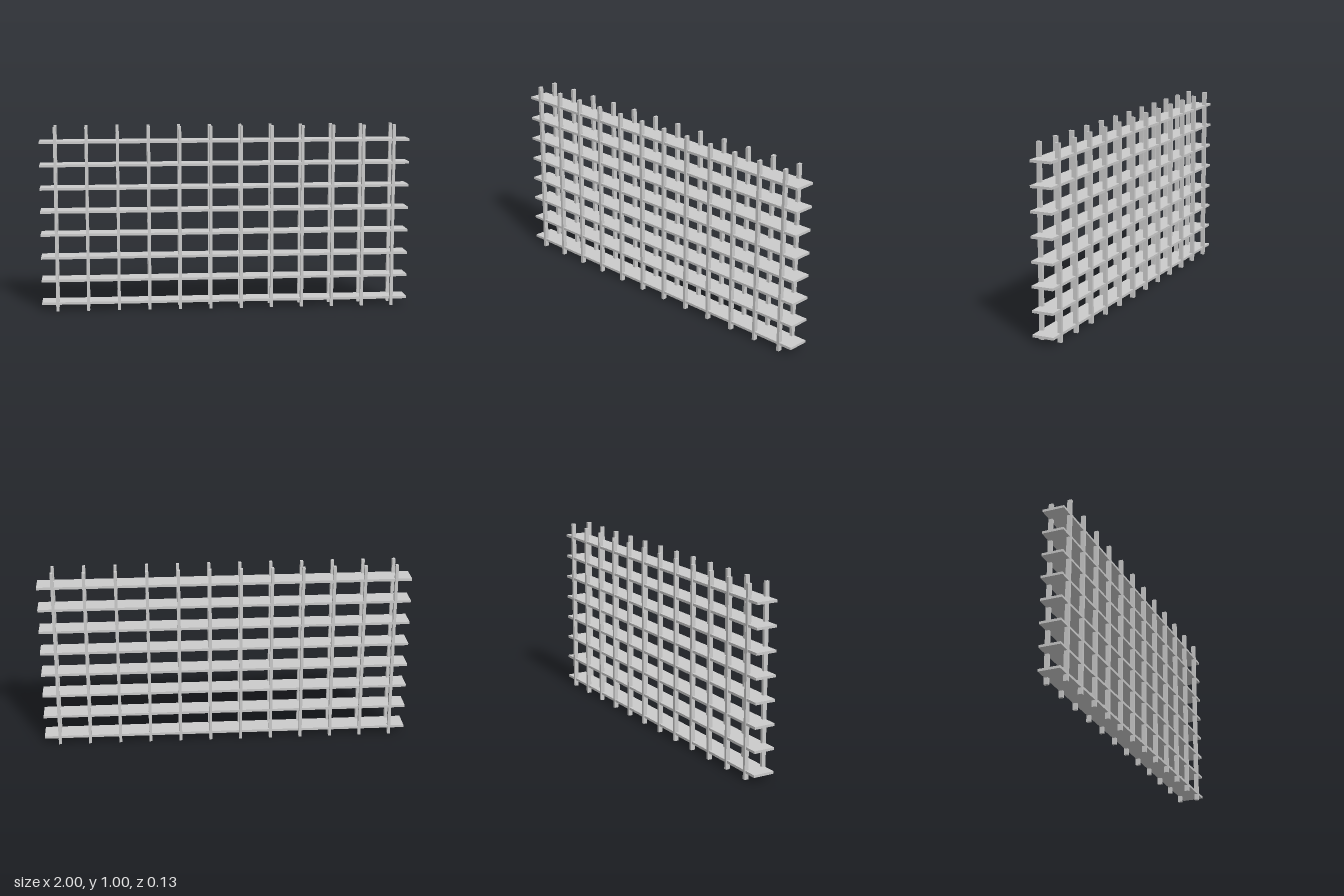
import * as THREE from 'three';

export function createModel() {
  const model = new THREE.Group();
  const material = new THREE.MeshStandardMaterial({ color: 0xcccccc, flatShading: true });

  function addPart(geometry, name, x, y, z) {
    const mesh = new THREE.Mesh(geometry, material);
    mesh.name = name;
    mesh.position.set(x, y, z);
    model.add(mesh);
  }

  // Eight shelves, each made of two boards butted together at the middle
  const board = new THREE.BoxGeometry(1, 0.0135, 0.117);
  for (let i = 0; i < 8; i++) {
    const y = 0.042 + i * 0.125;
    addPart(board, 'shelfBoardLeft', 0.5, y, 0);
    addPart(board, 'shelfBoardRight', -0.5, y, 0);
  }

  // Twelve pairs of upright posts, front and back, gripping the shelf edges
  const post = new THREE.BoxGeometry(0.016, 1, 0.023);
  for (let i = 0; i < 12; i++) {
    const x = (i - 5.5) / 6;
    addPart(post, 'frontPost', x, 0.5, 0.0515);
    addPart(post, 'backPost', x, 0.5, -0.0515);
  }

  return model;
}
